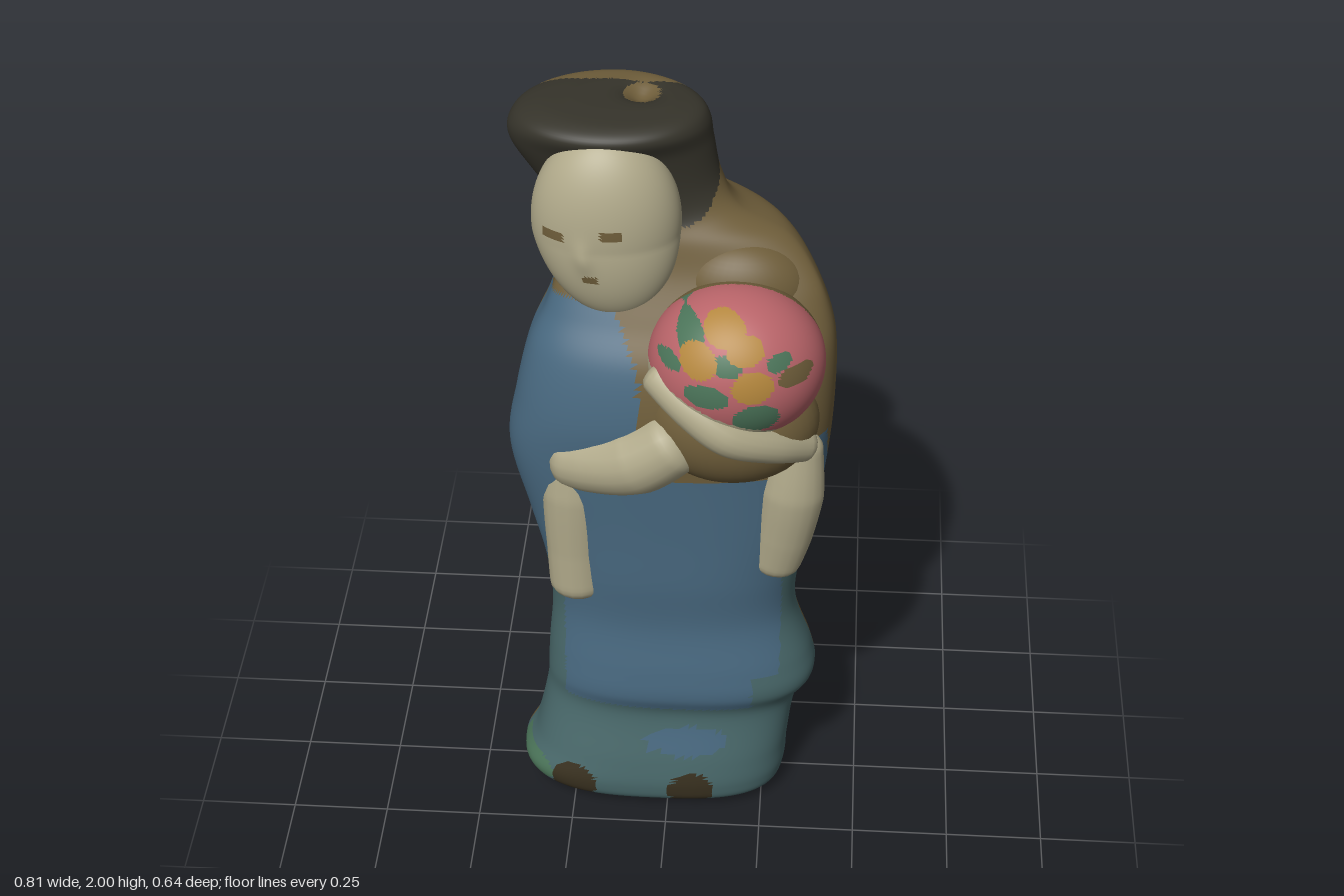
import * as THREE from 'three';
import { mergeVertices } from 'three/addons/utils/BufferGeometryUtils.js';

const COLORS = {
  mantleBrown: 0x6e5d3a, gownBlue: 0x48687f, gownTeal: 0x486769, skinCream: 0xb0a98a, hairDark: 0x35332a,
  flowerPink: 0xb96469, flowerYellow: 0xb3863c, leafGreen: 0x4b7459, shoeDark: 0x38301f,
};
const NAMES = Object.keys(COLORS);
const { smoothstep, lerp } = THREE.MathUtils;

// Body sections: y, left x, right x, front z, back z
const LEVELS = [
  [0, -0.25, 0.22, 0.10, -0.13], [0.03, -0.35, 0.29, 0.19, -0.17], [0.08, -0.395, 0.31, 0.21, -0.19],
  [0.16, -0.36, 0.315, 0.20, -0.20], [0.3, -0.33, 0.335, 0.17, -0.21], [0.38, -0.325, 0.38, 0.19, -0.21],
  [0.46, -0.32, 0.37, 0.185, -0.21], [0.6, -0.31, 0.325, 0.165, -0.21], [0.75, -0.325, 0.335, 0.175, -0.215],
  [0.9, -0.36, 0.37, 0.18, -0.25], [1.1, -0.405, 0.395, 0.19, -0.28], [1.25, -0.385, 0.405, 0.2, -0.295],
  [1.4, -0.35, 0.405, 0.17, -0.295], [1.5, -0.305, 0.39, 0.11, -0.305], [1.6, -0.275, 0.35, 0.05, -0.32],
  [1.68, -0.28, 0.28, 0.02, -0.32], [1.73, -0.29, 0.16, 0.0, -0.315], [1.8, -0.335, 0.115, 0.0, -0.31],
  [1.9, -0.395, 0.095, 0.02, -0.30], [1.96, -0.385, 0.085, 0.045, -0.29], [1.99, -0.33, 0.06, 0.01, -0.27],
  [2.0, -0.24, 0.0, -0.06, -0.21],
];

const inEllipse = (x, y, cx, cy, rx, ry) => ((x - cx) / rx) ** 2 + ((y - cy) / ry) ** 2 < 1;
const bump = (x, y, cx, cy, rx, ry) => Math.exp(-(((x - cx) / rx) ** 2) - ((y - cy) / ry) ** 2);

// Roundness of a section in each quarter: below 1 is squarer, above 1 flatter
function roundness(c, s, y, hood) {
  if (s > 0) return 0.8 + 0.2 * hood - 0.1 * (1 - smoothstep(y, 0.1, 0.5));
  return c > 0 ? 1.1 : 0.95 - 0.22 * bump(0, y, 0, 1.6, 1, 0.16);
}

// Loft the sections into one closed, smooth skin
function bodyGeometry() {
  const spline = new THREE.CubicInterpolant(LEVELS.map((_, i) => i), LEVELS.flat(), 5);
  const rows = (LEVELS.length - 1) * 8, crown = 8, sides = 128, pos = [], index = [];
  const bend = (v, p) => Math.sign(v) * Math.abs(v) ** p;
  for (let j = 0; j <= rows + crown; j++) {
    const [y, xl, xr, zf, zb] = Array.from(spline.evaluate(Math.min(j, rows) / 8));
    const shrink = 1 - Math.max(0, j - rows) / crown;
    const hood = smoothstep(y, 1.55, 1.8), zm = -0.12 * hood;
    for (let i = 0; i < sides; i++) {
      const t = (i / sides) * Math.PI * 2, c = Math.cos(t), s = Math.sin(t);
      const p = roundness(c, s, y, hood);
      const apex = (xl + xr) / 2 - (s < 0 ? 0.08 * smoothstep(y, 0.5, 1.1) * (1 - hood) : 0);
      let x = apex + (c > 0 ? xr - apex : apex - xl) * bend(c, p);
      let z = zm + (s > 0 ? zf - zm : zm - zb) * bend(s, p);
      // vent hollow in the back
      if (s < 0) z += 0.07 * bump(x, y, -0.03, 1.41, 0.07, 0.08);
      // crown closes inward, with a small dip
      x = lerp(-0.12, x, shrink);
      z = lerp(-0.13, z, shrink);
      pos.push(x, y - (y > 1.95 ? 0.03 * bump(x, z, -0.08, -0.16, 0.04, 0.04) : 0), z);
    }
  }
  const bottom = pos.length / 3;
  pos.push(-0.02, 0, 0);
  for (let i = 0; i < sides; i++) {
    const n = (i + 1) % sides;
    for (let j = 0; j < rows + crown; j++) {
      const a = j * sides + i, b = j * sides + n;
      index.push(a, a + sides, b);
      if (j < rows + crown - 1) index.push(b, a + sides, b + sides);
    }
    index.push(bottom, i, n);
  }
  const g = new THREE.BufferGeometry();
  g.setAttribute('position', new THREE.Float32BufferAttribute(pos, 3));
  g.setIndex(index);
  return g;
}

// Colour rule for the body: hood, hair, mantle, gown and shoes
function bodyPaint(x, y, z) {
  if (y > 1.72) {
    const spot = y > 1.93 && inEllipse(x, z, -0.08, -0.16, 0.045, 0.048);
    return !spot && z > Math.max(-0.21, -0.06 - (y - 1.77) * 1.1) ? 'hairDark' : 'mantleBrown';
  }
  if (z < -0.1) {
    const vent = inEllipse(x, y, -0.03, 1.41, 0.1, 0.1) || inEllipse(x, y, 0.02, 1.28, 0.035, 0.1);
    return vent ? 'hairDark' : 'mantleBrown';
  }
  const edge = x < 0 ? (y > 0.7 ? -0.06 : -0.02) : -0.01 + 0.08 * smoothstep(y, 1.0, 1.2);
  if (z < edge || y < 0.01 || (x > 0.12 && y < 0.035)) return 'mantleBrown';
  if (y > 1.1 && x > -0.07 - Math.max(0, y - 1.4) * 0.45) return x > 0.3 && y < 1.2 ? 'gownBlue' : 'mantleBrown';
  if (y > 1.545) return 'mantleBrown';
  if (z > 0.05 && (inEllipse(x, y, -0.25, 0.075, 0.06, 0.06) || inEllipse(x, y, 0.065, 0.075, 0.058, 0.06))) return 'shoeDark';
  if (z > 0 && inEllipse(x, y, -0.36, 0.085, 0.05, 0.04)) return 'leafGreen';
  if (inEllipse(x, y, 0.05, 0.23, 0.11, 0.045)) return 'gownBlue';
  if (y < 0.34 || (y < 0.45 && x > 0.22)) return 'gownTeal';
  return (y < 0.75 && (x < -0.27 || x > 0.29)) || (y < 0.9 && x > 0.33) ? 'gownTeal' : 'gownBlue';
}

// Colour rule for the face: two eyes and a mouth
function facePaint(x, y, z) {
  const mark = (cx, cy, w, h) => z > 0 && Math.abs(x - cx) < w && Math.abs(y - cy) < h;
  return mark(-0.275, 1.745, 0.025, 0.011) || mark(-0.135, 1.76, 0.025, 0.013) || mark(-0.185, 1.637, 0.018, 0.01)
    ? 'mantleBrown' : 'skinCream';
}

// Colour rule for the bouquet: blossoms, leaves and the arm below them
const BLOOMS = [
  [0.08, 1.52, 0.045, 0.04, 'flowerYellow'], [0.14, 1.585, 0.05, 0.03, 'flowerYellow'],
  [0.21, 1.47, 0.05, 0.04, 'flowerYellow'], [0.19, 1.55, 0.045, 0.03, 'flowerYellow'],
  [0.06, 1.56, 0.035, 0.035, 'leafGreen'], [0.15, 1.52, 0.035, 0.025, 'leafGreen'],
  [0.27, 1.52, 0.03, 0.02, 'leafGreen'], [0.1, 1.44, 0.055, 0.03, 'leafGreen'],
  [0.22, 1.38, 0.055, 0.045, 'leafGreen'], [0.31, 1.48, 0.04, 0.025, 'mantleBrown'],
  [0.01, 1.5, 0.03, 0.02, 'leafGreen'],
];
function bouquetPaint(x, y, z) {
  if (z < 0.085 || y < 1.36 - 0.42 * x) return 'mantleBrown';
  if (y < 1.43 - 0.42 * x) return 'skinCream';
  const hit = BLOOMS.find(([cx, cy, rx, ry]) => inEllipse(x, y, cx, cy, rx, ry));
  return hit ? hit[4] : 'flowerPink';
}

// Weld, smooth and, for a rule, sort triangles into colour groups
function weld(g) {
  g.deleteAttribute('uv');
  g.deleteAttribute('normal');
  g = mergeVertices(g, 1e-5);
  g.computeVertexNormals();
  return g;
}
function applyPaint(g, rule) {
  const p = g.attributes.position, idx = g.index.array, lists = NAMES.map(() => []);
  const mid = (a, b, c, f) => (p[f](a) + p[f](b) + p[f](c)) / 3;
  for (let i = 0; i < idx.length; i += 3) {
    const t = [idx[i], idx[i + 1], idx[i + 2]];
    lists[NAMES.indexOf(rule(mid(...t, 'getX'), mid(...t, 'getY'), mid(...t, 'getZ')))].push(...t);
  }
  let start = 0;
  lists.forEach((l, m) => { if (l.length) g.addGroup(start, l.length, m); start += l.length; });
  g.setIndex(lists.flat());
  return g;
}

const ellipsoid = (c, r, w = 40, h = 28) => new THREE.SphereGeometry(1, w, h).scale(...r).translate(...c);

// Round-ended limb along a curve; each point is x, y, z, radius
function limb(points, flat = 1) {
  const curve = new THREE.CatmullRomCurve3(points.map((q) => new THREE.Vector3(q[0], q[1], q[2])));
  const N = 40, M = 18, g = new THREE.TubeGeometry(curve, N, 1, M), p = g.attributes.position;
  const length = curve.getLength(), v = new THREE.Vector3();
  for (let i = 0; i <= N; i++) {
    const c = curve.getPointAt(i / N), u = curve.getUtoTmapping(i / N) * (points.length - 1);
    const k = Math.min(Math.floor(u), points.length - 2);
    const r = lerp(points[k][3], points[k + 1][3], u - k);
    const e = Math.min(1, (Math.min(i, N - i) / N) * length / (r * 0.7));
    const round = r * Math.sqrt(Math.max(0, 1 - (1 - e) ** 2));
    for (let j = 0; j <= M; j++) {
      const n = i * (M + 1) + j;
      v.fromBufferAttribute(p, n).sub(c).multiplyScalar(round);
      p.setXYZ(n, c.x + v.x, c.y + v.y, c.z + v.z * flat);
    }
  }
  return g;
}

export function createModel() {
  const model = new THREE.Group();
  model.name = 'figurine';
  const mats = Object.fromEntries(NAMES.map((name) => {
    const m = new THREE.MeshStandardMaterial({ color: COLORS[name] });
    m.name = name;
    return [name, m];
  }));
  const palette = NAMES.map((n) => mats[n]);
  const add = (name, geometry, paint) => {
    let g = weld(geometry);
    const rule = typeof paint === 'function';
    if (rule) g = applyPaint(g, paint);
    const mesh = new THREE.Mesh(g, rule ? palette : mats[paint]);
    mesh.name = name;
    model.add(mesh);
  };

  add('mantleAndGown', bodyGeometry(), bodyPaint);

  // Face: oval narrowed and leaning at the chin, with a small nose
  const face = ellipsoid([0, 0, 0], [0.18, 0.235, 0.125], 120, 90), fp = face.attributes.position;
  for (let i = 0; i < fp.count; i++) {
    const x = fp.getX(i), y = fp.getY(i), z = fp.getZ(i), jaw = Math.max(0, -0.03 - y);
    const nose = z > 0 ? 0.01 * bump(x, y, -0.05, -0.045, 0.022, 0.04) : 0;
    fp.setXYZ(i, x + 0.12 * jaw, y * (1 + 0.3 * jaw), z + nose + (z > 0 ? 0.15 * jaw : 0));
  }
  add('face', face.translate(-0.155, 1.74, -0.005), facePaint);

  // Shoulder and folded mantle around the flowers, then the flowers
  add('leftShoulder', ellipsoid([0.17, 1.55, -0.02], [0.17, 0.13, 0.105]), 'mantleBrown');
  add('mantleFold', ellipsoid([0.155, 1.26, 0.12], [0.215, 0.17, 0.155]), 'mantleBrown');
  add('bouquet', ellipsoid([0.165, 1.43, 0.12], [0.215, 0.195, 0.19], 120, 90), bouquetPaint);

  // Arms and hanging sleeves
  add('rightForearm', limb([[-0.29, 1.11, 0.08, 0.08], [-0.19, 1.12, 0.12, 0.09], [-0.07, 1.16, 0.165, 0.095], [0.06, 1.26, 0.19, 0.08]]), 'skinCream');
  add('rightSleeve', limb([[-0.23, 1.2, 0.09, 0.07], [-0.235, 1.0, 0.1, 0.085], [-0.235, 0.82, 0.1, 0.076], [-0.23, 0.66, 0.1, 0.074]], 0.85), 'skinCream');
  add('leftForearm', limb([[-0.04, 1.43, 0.17, 0.045], [0.06, 1.37, 0.24, 0.052], [0.15, 1.31, 0.262, 0.055], [0.25, 1.26, 0.225, 0.05], [0.35, 1.2, 0.14, 0.045]]), 'skinCream');
  add('leftSleeve', limb([[0.32, 1.23, 0.13, 0.06], [0.31, 1.05, 0.135, 0.08], [0.29, 0.9, 0.12, 0.073], [0.265, 0.765, 0.105, 0.06]], 0.8), 'skinCream');
  return model;
}
